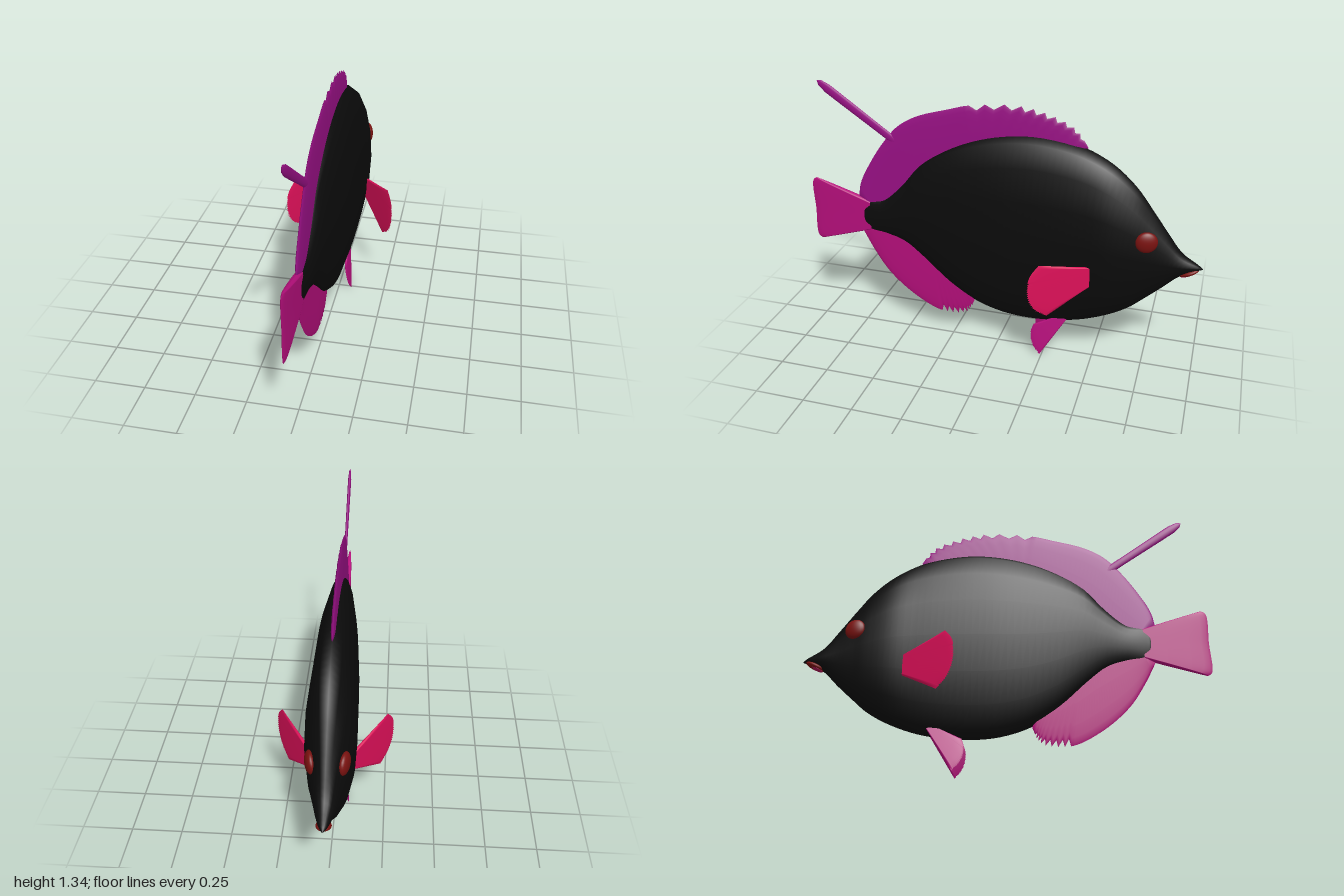
import * as THREE from 'three';

const mat = (name, color, side = THREE.FrontSide) => {
  const m = new THREE.MeshStandardMaterial({ color, side });
  m.name = name;
  return m;
};

// Smooth curve through [z, y] points
const curve = (pts) => new THREE.CatmullRomCurve3(pts.map(([z, y]) => new THREE.Vector3(0, y, z)));

const buildGeometry = (positions, index) => {
  const g = new THREE.BufferGeometry();
  g.setAttribute('position', new THREE.Float32BufferAttribute(positions, 3));
  g.setIndex(index);
  g.computeVertexNormals();
  return g;
};

// Body lofted from elliptical rings: z, top, bottom, half width
function bodyGeometry() {
  const stations = [
    [-1.0, 0.585, 0.58, 0.002], [-0.975, 0.602, 0.572, 0.018], [-0.9, 0.65, 0.535, 0.042],
    [-0.82, 0.755, 0.455, 0.06], [-0.74, 0.866, 0.38, 0.08], [-0.66, 0.968, 0.31, 0.1],
    [-0.55, 1.063, 0.248, 0.117], [-0.42, 1.128, 0.2, 0.115], [-0.29, 1.16, 0.175, 0.112],
    [-0.155, 1.171, 0.166, 0.108], [-0.02, 1.157, 0.178, 0.102], [0.12, 1.12, 0.222, 0.09],
    [0.26, 1.057, 0.31, 0.075], [0.4, 0.96, 0.437, 0.057], [0.5, 0.84, 0.515, 0.043],
    [0.6, 0.75, 0.545, 0.03], [0.695, 0.735, 0.55, 0.019], [0.718, 0.7, 0.585, 0.015], [0.73, 0.645, 0.635, 0.003],
  ];
  const outline = new THREE.CatmullRomCurve3(stations.map(([z, t, b]) => new THREE.Vector3(t, b, z)));
  const widths = new THREE.CatmullRomCurve3(stations.map(([z, , , w]) => new THREE.Vector3(w, 0, z)));
  const rings = 72, sides = 16, pos = [], idx = [];
  for (let s = 0; s <= rings; s++) {
    const p = outline.getPoint(s / rings), w = widths.getPoint(s / rings).x;
    for (let j = 0; j < sides; j++) {
      const a = (j / sides) * Math.PI * 2;
      pos.push(w * Math.cos(a), (p.x + p.y) / 2 + ((p.x - p.y) / 2) * Math.sin(a), p.z);
      if (s === rings) continue;
      const k = s * sides + j, n = s * sides + ((j + 1) % sides);
      idx.push(k, n, k + sides, n, n + sides, k + sides);
    }
  }
  return buildGeometry(pos, idx);
}

// Fin between a root line and an outer edge, thinning to the edge.
// teeth = [first u, last u, depth]; centre(z, y) gives the sideways position.
function finGeometry(root, edge, thickness, teeth = [1, 0, 0], centre = () => 0) {
  const rootCurve = curve(root), edgeCurve = curve(edge);
  const n = 60, rows = [0, 0.35, 0.7, 0.88, 0.96, 1], pos = [], idx = [];
  for (const side of [1, -1]) {
    const start = pos.length / 3;
    for (let i = 0; i <= n; i++) {
      const u = i / n, a = rootCurve.getPoint(u), b = edgeCurve.getPoint(u);
      const notch = i % 2 && u > teeth[0] && u < teeth[1] ? 1 - teeth[2] : 1;
      const taper = Math.min(1, Math.sqrt(Math.min(u, 1 - u) * 20));
      rows.forEach((v, r) => {
        const p = a.clone().lerp(b, v * notch);
        const half = thickness * Math.sqrt(1 - v * v) * taper;
        pos.push(centre(p.z, p.y) + side * half, p.y, p.z);
        if (i === n || r === rows.length - 1) return;
        const k = start + i * rows.length + r, m = k + rows.length;
        if (side > 0) idx.push(k, k + 1, m, k + 1, m + 1, m);
        else idx.push(k, m, k + 1, k + 1, m, m + 1);
      });
    }
  }
  return buildGeometry(pos, idx);
}

export function createModel() {
  const model = new THREE.Group();
  model.name = 'fish';
  const black = mat('black skin', 0x0b0b0b);
  const purple = mat('purple dorsal', 0x981084, THREE.DoubleSide);
  const magenta = mat('magenta fins', 0xb60f7c, THREE.DoubleSide);
  const crimson = mat('crimson pectoral', 0xdc1058, THREE.DoubleSide);
  const darkRed = mat('dark red', 0x7a1210);
  const pink = mat('pink lip', 0xb01858);

  const add = (name, geometry, material) => {
    const m = new THREE.Mesh(geometry, material);
    m.name = name;
    model.add(m);
    return m;
  };

  add('body', bodyGeometry(), black);

  // Median fins
  add('dorsalFin', finGeometry(
    [[-0.4, 1.08], [-0.1, 1.1], [0.15, 1.05], [0.4, 0.9], [0.6, 0.72], [0.7, 0.7]],
    [[-0.43, 1.13], [-0.37, 1.215], [-0.25, 1.27], [-0.1, 1.3], [0.14, 1.28], [0.25, 1.25], [0.41, 1.2],
      [0.51, 1.14], [0.59, 1.05], [0.67, 0.93], [0.727, 0.82], [0.745, 0.735]],
    0.013, [0.02, 0.38, 0.12]), purple);
  add('analFin', finGeometry(
    [[0.13, 0.27], [0.3, 0.4], [0.45, 0.53], [0.6, 0.58], [0.7, 0.58]],
    [[0.13, 0.22], [0.17, 0.145], [0.31, 0.128], [0.46, 0.2], [0.594, 0.316], [0.674, 0.433], [0.733, 0.545]],
    0.013, [0.08, 0.34, 0.12]), magenta);
  add('tailFin', finGeometry(
    [[0.68, 0.725], [0.68, 0.64], [0.68, 0.56]],
    [[0.975, 0.818], [0.997, 0.8], [0.998, 0.64], [0.997, 0.485], [0.975, 0.468]],
    0.016), magenta);

  // Long trailing dorsal ray
  const ray = add('dorsalRay', new THREE.LatheGeometry(
    [[0, -0.03], [0.021, 0], [0.021, 0.3], [0.024, 0.55], [0.024, 0.62], [0.016, 0.665], [0, 0.685]]
      .map(([r, y]) => new THREE.Vector2(r, y)), 12), purple);
  ray.scale.x = 0.35;
  ray.position.set(0, 0.945, 0.36);
  ray.rotation.x = Math.atan2(0.56, 0.39);

  // Paired parts
  for (const [side, s] of [['left', 1], ['right', -1]]) {
    add(side + 'PectoralFin', finGeometry(
      [[-0.485, 0.565], [-0.485, 0.46]],
      [[-0.267, 0.622], [-0.232, 0.57], [-0.219, 0.5], [-0.228, 0.43], [-0.258, 0.375], [-0.305, 0.34]],
      0.009, [0.3, 0.95, 0.025], (z) => s * (0.108 + (z + 0.475) * 0.68)), crimson);
    add(side + 'PelvicFin', finGeometry(
      [[-0.37, 0.215], [-0.33, 0.225]].reverse(),
      [[-0.2, 0.16], [-0.188, 0.12], [-0.19, 0.075], [-0.21, 0.03], [-0.24, 0]],
      0.009, [0.3, 0.95, 0.02], (z, y) => s * (0.034 + (0.2 - y) * 0.18)), magenta);
    const eye = add(side + 'Eye', new THREE.SphereGeometry(0.053, 24, 16), darkRed);
    eye.scale.x = 0.45;
    eye.position.set(s * 0.073, 0.722, -0.735);
    eye.rotation.y = s * 0.24;
  }

  // Mouth and lower lip
  const mouth = add('mouth', new THREE.SphereGeometry(1, 20, 12), darkRed);
  mouth.scale.set(0.034, 0.015, 0.052);
  mouth.position.set(0, 0.558, -0.937);
  mouth.rotation.x = 0.42;
  const lip = add('lowerLip', new THREE.SphereGeometry(1, 20, 12), pink);
  lip.scale.set(0.026, 0.007, 0.04);
  lip.position.set(0, 0.548, -0.935);
  lip.rotation.x = 0.45;

  return model;
}
